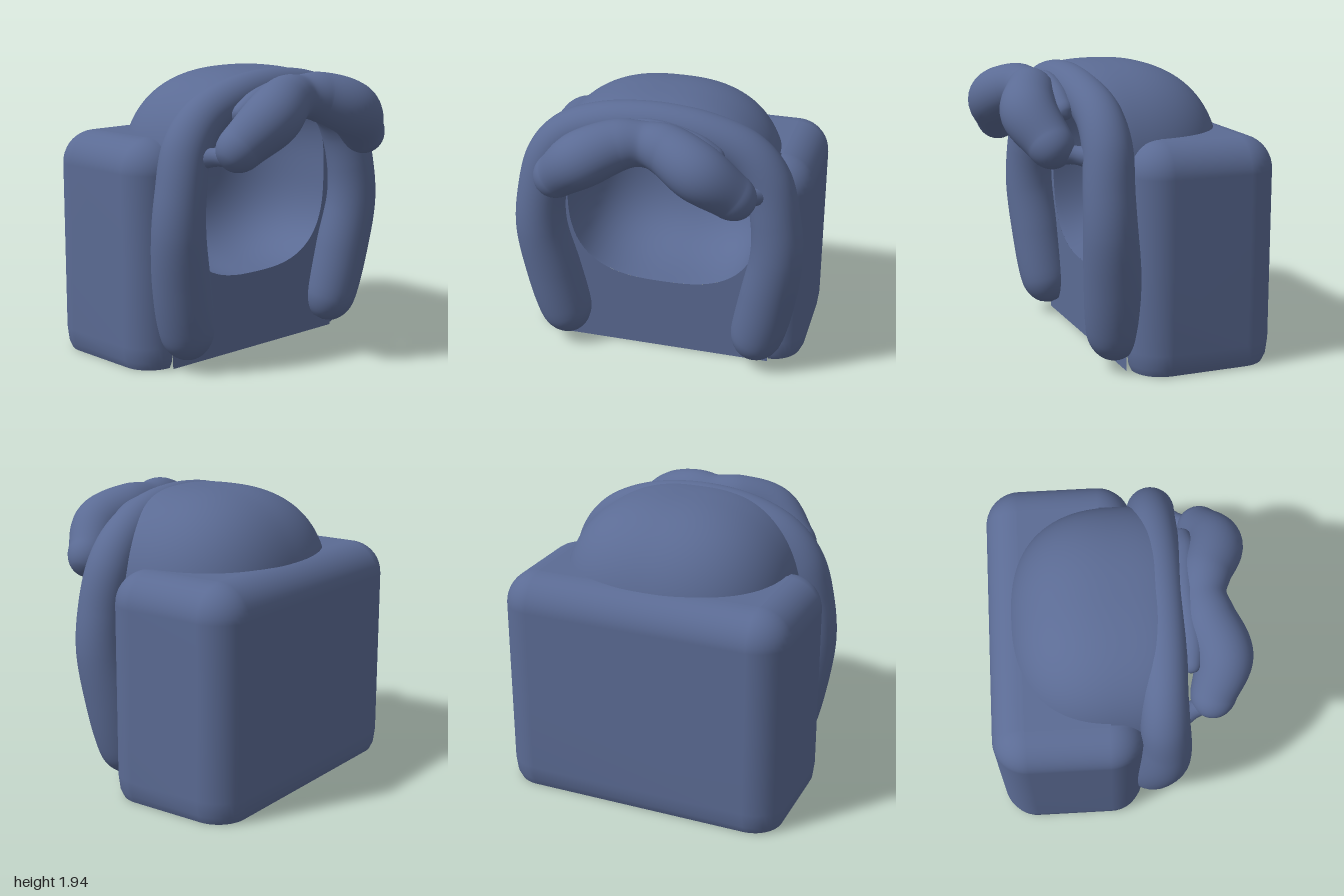
import * as THREE from 'three';
import { mergeVertices } from 'three/addons/utils/BufferGeometryUtils.js';

const slateBlue = new THREE.MeshStandardMaterial({ color: 0x5b6b94, side: THREE.DoubleSide });
slateBlue.name = 'slateBlue';

// Weld seams and recompute smooth normals
function smooth(geometry) {
  geometry.deleteAttribute('uv');
  geometry.deleteAttribute('normal');
  const welded = mergeVertices(geometry, 1e-4);
  welded.computeVertexNormals();
  return welded;
}

// Round-ended tube through [x, y, z, radius] points
function sweep(points, segments, sides = 32) {
  const curve = new THREE.CatmullRomCurve3(points.map(p => new THREE.Vector3(p[0], p[1], p[2])));
  const radii = new THREE.SplineCurve(points.map((p, i) => new THREE.Vector2(i, p[3])));
  const geometry = new THREE.TubeGeometry(curve, segments, 1, sides);
  const length = curve.getLength();
  const pos = geometry.attributes.position;
  const v = new THREE.Vector3();
  for (let i = 0; i <= segments; i++) {
    const u = i / segments;
    const centre = curve.getPointAt(u);
    let r = radii.getPoint(curve.getUtoTmapping(u)).y;
    const d = Math.min(u, 1 - u) * length;
    if (d < r) r *= Math.sqrt(Math.max(0, 1 - ((r - d) / r) ** 2));
    for (let j = 0; j <= sides; j++) {
      const k = i * (sides + 1) + j;
      v.fromBufferAttribute(pos, k).sub(centre).multiplyScalar(r).add(centre);
      pos.setXYZ(k, v.x, v.y, v.z);
    }
  }
  return smooth(geometry);
}

// Mirror a half path (ending on x = 0) into a full symmetric path
const mirrored = half => [...half, ...half.slice(0, -1).reverse().map(([x, ...rest]) => [-x, ...rest])];

// Squared-off ellipsoid with its pole at the back
function superEllipsoid(a, b, c, n, phiStart, phiLength, thetaLength) {
  const geometry = new THREE.SphereGeometry(1, 64, 40, phiStart, phiLength, 0, thetaLength);
  geometry.rotateX(-Math.PI / 2);
  const pos = geometry.attributes.position;
  for (let i = 0; i < pos.count; i++) {
    const p = [pos.getX(i), pos.getY(i), pos.getZ(i)];
    const s = p.reduce((sum, q) => sum + Math.abs(q) ** n, 0) ** (-1 / n);
    pos.setXYZ(i, p[0] * s * a, p[1] * s * b, p[2] * s * c);
  }
  return smooth(geometry);
}

const W = 0.99, FRONT = 0.14, BACK = -0.85, R = 0.23, TOP = 1.52;
const CAVITY = { a: 0.675, b: 0.63, c: 0.69, y: 1.17, n: 2.8 };

// Sides, back and rounded shoulder, open at the front and below
function bodyShell() {
  const rings = [[0.01, 0.035], [0.06, 0.012], [0.16, 0], [0.7, 0]];
  for (let i = 0; i <= 10; i++) {
    const t = i / 10 * Math.PI / 2;
    rings.push([TOP - 0.22 + 0.22 * Math.sin(t), 0.22 * (1 - Math.cos(t))]);
  }
  const corners = [
    [W - R, FRONT - R, Math.PI / 2], [W - R, BACK + R, 0],
    [-W + R, BACK + R, -Math.PI / 2], [-W + R, FRONT - R, -Math.PI],
  ];
  const steps = 10, cols = corners.length * (steps + 1);
  const vertices = [], index = [];
  rings.forEach(([y, inset], row) => {
    for (const [cx, cz, start] of corners) {
      for (let i = 0; i <= steps; i++) {
        const t = start - i / steps * Math.PI / 2;
        vertices.push(cx + (R - inset) * Math.cos(t), y, cz + (R - inset) * Math.sin(t));
      }
    }
    if (row === 0) return;
    for (let j = 0; j < cols - 1; j++) {
      const a = (row - 1) * cols + j, b = a + cols;
      index.push(a, a + 1, b, a + 1, b + 1, b);
    }
  });
  const geometry = new THREE.BufferGeometry();
  geometry.setAttribute('position', new THREE.Float32BufferAttribute(vertices, 3));
  geometry.setIndex(index);
  geometry.computeVertexNormals();
  return geometry;
}

// Flat panel with a rounded notch cut from its top edge
function notchedPanel(halfWidth, bottom, top, a, b, centre, n) {
  const shape = new THREE.Shape();
  shape.moveTo(-halfWidth, top);
  shape.lineTo(-halfWidth, bottom);
  shape.lineTo(halfWidth, bottom);
  shape.lineTo(halfWidth, top);
  const limit = (1 - Math.min(1, Math.abs(top - centre) / b) ** n) ** (1 / n) * a;
  shape.lineTo(limit, top);
  for (let i = 0; i <= 60; i++) {
    const t = 0.6 - i / 60 * (Math.PI + 1.2);
    const c = Math.cos(t), s = Math.sin(t);
    const k = (Math.abs(c) ** n + Math.abs(s) ** n) ** (-1 / n);
    if (centre + b * s * k < top) shape.lineTo(a * c * k, centre + b * s * k);
  }
  shape.lineTo(-limit, top);
  return new THREE.ShapeGeometry(shape);
}

export function createModel() {
  const model = new THREE.Group();
  model.name = 'hoodedSeat';
  const add = (name, geometry, x = 0, y = 0, z = 0) => {
    const mesh = new THREE.Mesh(geometry, slateBlue);
    mesh.name = name;
    mesh.position.set(x, y, z);
    model.add(mesh);
    return mesh;
  };

  // Box-shaped body
  add('bodyShell', bodyShell());
  add('frontPanel', notchedPanel(W - R, 0.01, 1.5, CAVITY.a, CAVITY.b, CAVITY.y, CAVITY.n), 0, 0, FRONT);
  const cap = notchedPanel(0.77, -0.63, -0.08, 0.69, 0.68, 0.08, 2.5);
  cap.rotateX(-Math.PI / 2).scale(1, 1, -1);
  cap.setIndex([...cap.index.array].reverse());
  cap.computeVertexNormals();
  add('bodyTop', cap, 0, TOP, 0);

  // Hollow interior and the dome above it
  add('cavityLining', superEllipsoid(CAVITY.a, CAVITY.b, CAVITY.c, CAVITY.n, 0, Math.PI * 2, Math.PI / 2), 0, CAVITY.y, FRONT);
  add('dome', superEllipsoid(0.8, 0.79, 0.76, 2.5, Math.PI * 0.08, Math.PI * 0.84, Math.PI / 2 + 0.33), 0, 1.16, 0.03);

  // Padded roll: up one arm, over the dome's rim and down the other
  add('armArch', sweep(mirrored([
    [0.64, 0.08, 0.18, 0.15], [0.70, 0.3, 0.205, 0.185], [0.765, 0.6, 0.235, 0.19],
    [0.82, 0.95, 0.275, 0.175], [0.805, 1.2, 0.28, 0.165], [0.735, 1.48, 0.265, 0.16],
    [0.6, 1.65, 0.265, 0.15], [0.35, 1.765, 0.28, 0.14], [0, 1.81, 0.285, 0.135],
  ]), 240));

  // Bent roll in front of the rim
  add('browRoll', sweep(mirrored([
    [0.70, 1.40, 0.565, 0.14], [0.58, 1.50, 0.585, 0.15], [0.38, 1.67, 0.655, 0.185],
    [0.15, 1.765, 0.575, 0.165], [0, 1.775, 0.55, 0.145],
  ]), 120));

  // Joins between the brow roll and the arch
  add('browBridge', sweep(mirrored([
    [0.49, 1.66, 0.44, 0.06], [0.3, 1.745, 0.45, 0.09], [0, 1.80, 0.43, 0.09],
  ]), 80, 20));
  for (const side of [-1, 1]) {
    add(side > 0 ? 'leftNeck' : 'rightNeck', sweep([
      [side * 0.61, 1.45, 0.56, 0.075], [side * 0.66, 1.44, 0.45, 0.06], [side * 0.73, 1.42, 0.33, 0.075],
    ], 24, 16));
  }
  return model;
}
